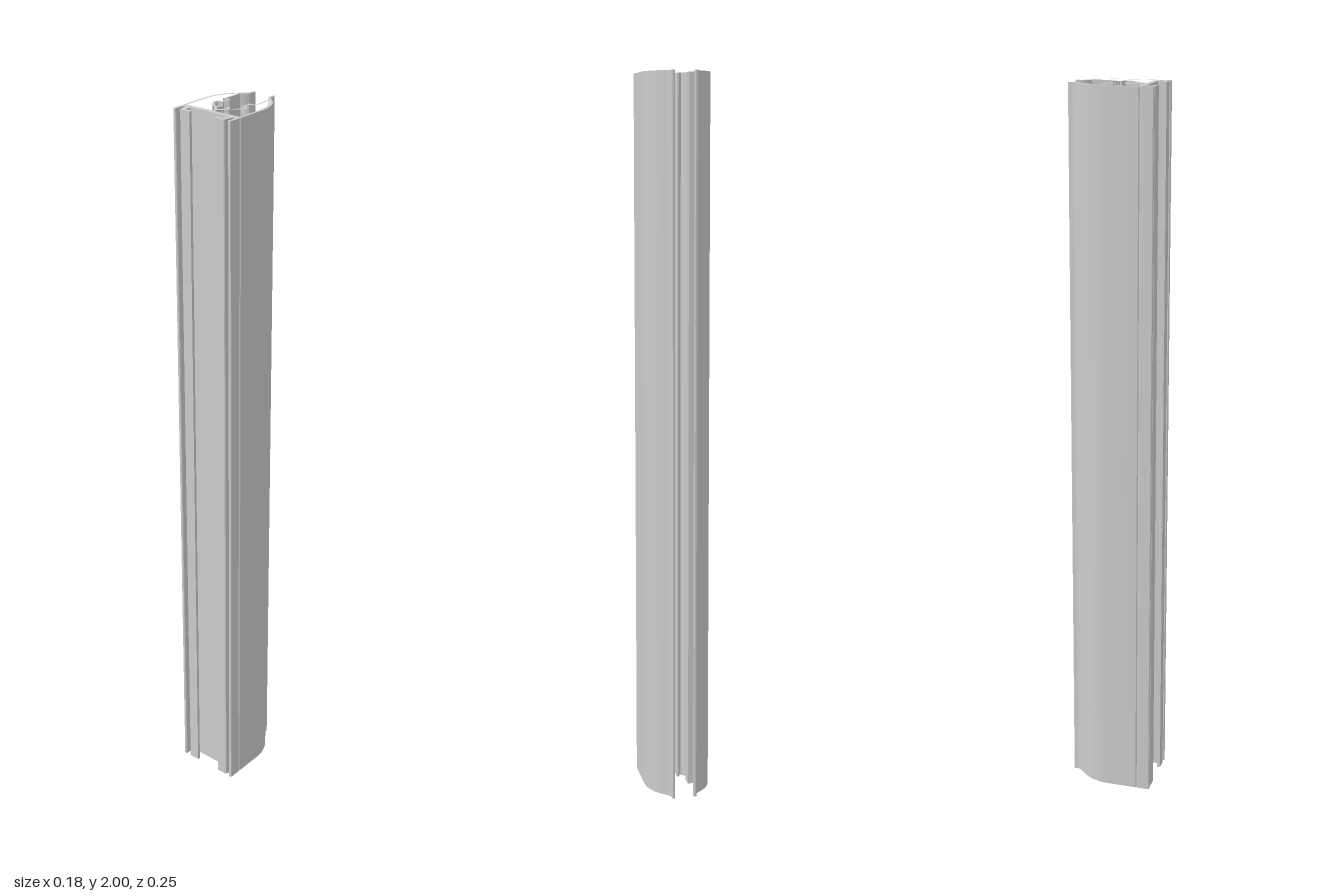
import * as THREE from 'three';
import { toCreasedNormals } from 'three/addons/utils/BufferGeometryUtils.js';

const LENGTH = 2;

// Smooth run of points through a few [x, z] controls
function arc(points, n = 12) {
  const curve = new THREE.SplineCurve(points.map(([x, z]) => new THREE.Vector2(x, z)));
  return curve.getPoints(n).map((p) => [p.x, p.y]);
}

const mirror = (points) => points.map(([x, z]) => [-x, z]).reverse();
const vectors = (points) => points.map(([x, z]) => new THREE.Vector2(x, z));

// Small gripping teeth along the inside of the slot
function teeth(z0, z1, count) {
  const points = [];
  const step = (z1 - z0) / count;
  for (let i = 0; i < count; i++) {
    const z = z0 + i * step;
    points.push([0.0325, z + step * 0.25], [0.0295, z + step * 0.75]);
  }
  return points;
}

// Left half of the outline, from the front centre round to the screw port
function halfOutline() {
  return [
    // hooked front rail
    [0.06, 0.092], [0.06, 0.111], [0.041, 0.111], [0.039, 0.113], [0.039, 0.121],
    [0.069, 0.121], [0.071, 0.119], [0.0765, 0.092],
    // outer leg with a fine groove above it
    [0.083, 0.092], [0.083, 0.12], [0.0845, 0.122], [0.0905, 0.122], [0.092, 0.12],
    [0.092, 0.088], [0.0895, 0.085], [0.092, 0.082],
    // side wall, curved shoulder and back lip
    ...arc([[0.092, -0.004], [0.089, -0.027], [0.08, -0.053], [0.068, -0.072], [0.054, -0.087]], 16),
    ...arc([[0.0535, -0.0875], [0.041, -0.099], [0.036, -0.107], [0.035, -0.114]], 8),
    [0.035, -0.121], [0.0335, -0.123], [0.0285, -0.123], [0.027, -0.121],
    ...arc([[0.027, -0.114], [0.0295, -0.102], [0.036, -0.092], [0.046, -0.083]], 8),
    // slot wall, ledge and teeth
    [0.0465, -0.081], [0.0465, -0.027], [0.031, -0.027], [0.029, -0.025], [0.029, -0.021],
    ...teeth(-0.02, 0.001, 5),
    [0.0295, 0.004],
    // rounded pocket and sloping web
    ...arc([[0.037, 0.0045], [0.043, 0.007], [0.045, 0.0135], [0.0425, 0.02]], 8),
    [0.023, 0.0415],
    // screw port finger
    [0.0195, 0.04],
    ...arc([[0.0175, 0.033], [0.015, 0.0285], [0.011, 0.0285], [0.009, 0.032]], 8),
    [0.009, 0.038],
    ...arc([[0.0115, 0.044], [0.011, 0.051], [0.006, 0.0565], [0.001, 0.058]], 8),
  ];
}

// Hollow chamber between side wall and slot
function chamber() {
  return [
    [0.084, 0.078],
    ...arc([[0.084, -0.004], [0.081, -0.027], [0.072, -0.05], [0.061, -0.067], [0.053, -0.077]], 16),
    [0.0515, -0.077], [0.0515, -0.021], [0.05, -0.0195], [0.037, -0.0195], [0.037, -0.003],
    ...arc([[0.039, -0.002], [0.047, 0.002], [0.0515, 0.0095], [0.051, 0.018], [0.047, 0.025]], 10),
    [0.0055, 0.0665], [0.004, 0.07], [0.004, 0.076], [0.006, 0.078],
  ];
}

export function createModel() {
  const group = new THREE.Group();
  group.name = 'extrudedProfile';

  const half = halfOutline();
  const shape = new THREE.Shape(vectors([...half, ...mirror(half)]));
  for (const points of [chamber(), mirror(chamber())]) {
    shape.holes.push(new THREE.Path(vectors(points)));
  }

  // Extrude the section and stand it upright
  const geometry = new THREE.ExtrudeGeometry(shape, { depth: LENGTH, bevelEnabled: false });
  geometry.rotateX(Math.PI / 2);
  geometry.translate(0, LENGTH, 0);

  const rail = new THREE.Mesh(
    toCreasedNormals(geometry, 0.5),
    new THREE.MeshStandardMaterial({ color: 0xcccccc })
  );
  rail.name = 'railSection';
  group.add(rail);
  return group;
}
